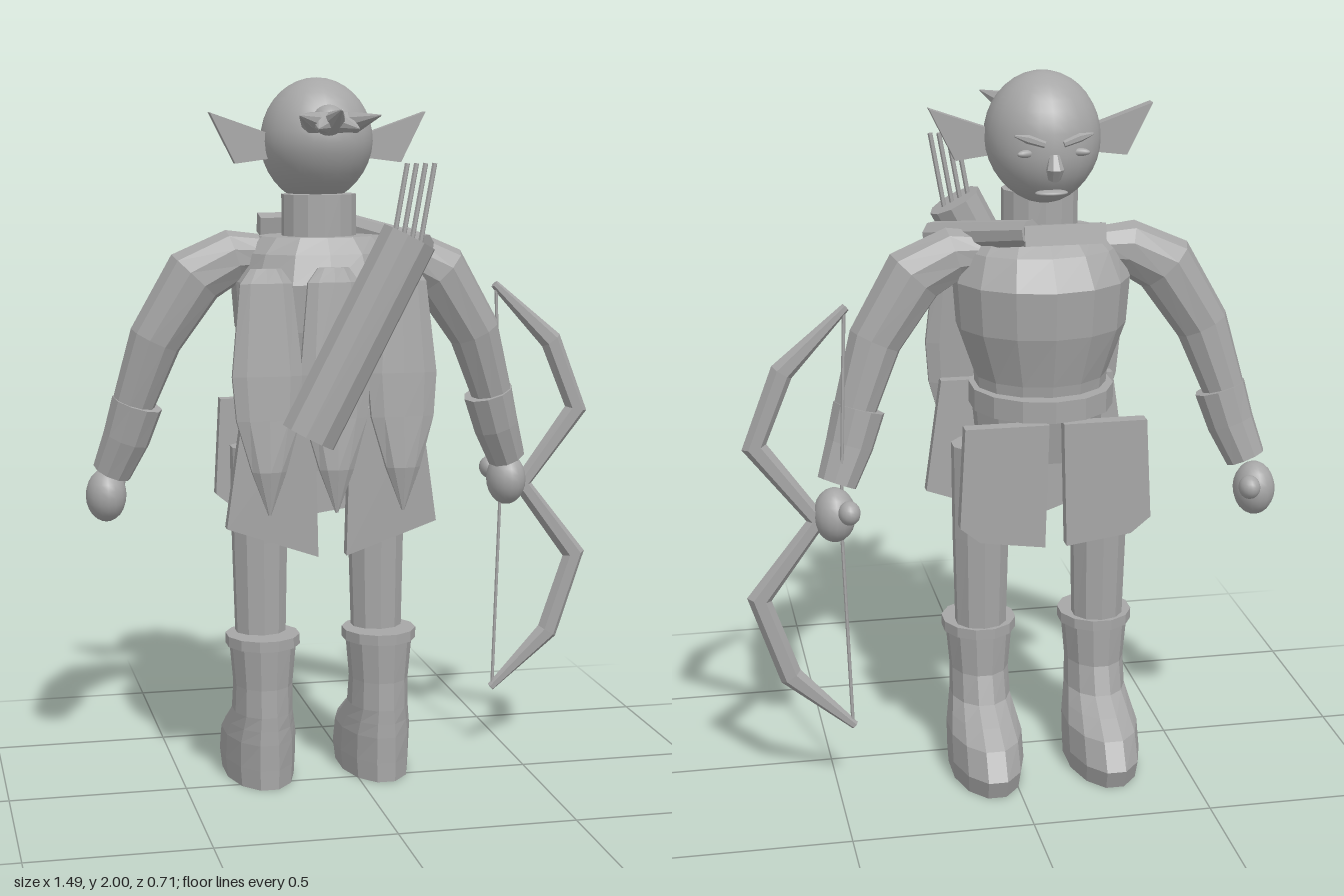
import * as THREE from 'three';

const V = (p) => new THREE.Vector3(...p);
const CX = -0.1; // body midline

// Faceted normals
function facet(geo) {
  const g = geo.index ? geo.toNonIndexed() : geo;
  g.computeVertexNormals();
  return g;
}

// Loft elliptical rings along a path; rows are [x, y, z, radiusU, radiusV], ref sets the U axis
function loft(rows, segs, ref, fixedTangent) {
  const pts = rows.map((r) => V(r));
  const pos = [], idx = [], n = rows.length;
  rows.forEach((r, i) => {
    const t = fixedTangent ? V(fixedTangent)
      : pts[Math.min(i + 1, n - 1)].clone().sub(pts[Math.max(i - 1, 0)]).normalize();
    const u = V(ref).addScaledVector(t, -V(ref).dot(t)).normalize();
    const v = t.clone().cross(u);
    for (let j = 0; j < segs; j++) {
      const a = ((j + 0.5) / segs) * Math.PI * 2;
      const p = pts[i].clone().addScaledVector(u, Math.cos(a) * r[3])
        .addScaledVector(v, Math.sin(a) * (r[4] ?? r[3]));
      pos.push(p.x, p.y, p.z);
    }
  });
  for (let i = 0; i < n - 1; i++) for (let j = 0; j < segs; j++) {
    const k = (j + 1) % segs;
    const a = i * segs + j, b = i * segs + k, c = b + segs, d = a + segs;
    idx.push(a, b, c, a, c, d);
  }
  const last = (n - 1) * segs;
  for (let j = 1; j < segs - 1; j++) idx.push(0, j + 1, j, last, last + j, last + j + 1);
  const g = new THREE.BufferGeometry();
  g.setAttribute('position', new THREE.Float32BufferAttribute(pos, 3));
  g.setIndex(idx);
  return facet(g);
}

// Flat plate from an outline
function plate(points, depth) {
  const g = new THREE.ExtrudeGeometry(new THREE.Shape(points.map((p) => new THREE.Vector2(...p))),
    { depth, bevelEnabled: false });
  return g.translate(0, 0, -depth / 2);
}

export function createModel() {
  const root = new THREE.Group();
  const grey = new THREE.MeshStandardMaterial({ color: 0xa6a6a6 });
  grey.name = 'plain grey';
  const add = (name, geo, pos = [0, 0, 0]) => {
    const m = new THREE.Mesh(geo, grey);
    m.name = name;
    m.position.set(...pos);
    root.add(m);
    return m;
  };
  const ball = (name, pos, size) => {
    const m = add(name, new THREE.SphereGeometry(1, 16, 12), pos);
    m.scale.set(...size);
    return m;
  };
  const X = [1, 0, 0], Y = [0, 1, 0], Z = [0, 0, 1];

  // Torso, belt and hips
  add('torso', loft([
    [CX, 1.1, -0.07, 0.18, 0.165], [CX, 1.17, -0.07, 0.185, 0.175], [CX, 1.31, -0.075, 0.235, 0.205],
    [CX, 1.44, -0.075, 0.245, 0.212], [CX, 1.52, -0.06, 0.215, 0.165], [CX, 1.565, -0.05, 0.17, 0.12],
  ], 14, X, Y));
  add('belt', loft([[CX, 1.08, -0.08, 0.2, 0.205], [CX, 1.14, -0.08, 0.2, 0.205]], 14, X, Y));
  add('hips', loft([[CX, 0.92, -0.03, 0.17, 0.125], [CX, 1.1, -0.04, 0.19, 0.15]], 12, X, Y));
  add('neck', loft([[CX, 1.54, -0.05, 0.105, 0.085], [CX, 1.68, -0.05, 0.105, 0.085]], 14, X, Y));

  // Scarf around the neck
  add('scarfRoll', loft([[0.175, 1.53, 0.065, 0.042], [-0.04, 1.595, -0.23, 0.036]], 8, Y));
  const scarf = add('scarfFront', new THREE.BoxGeometry(0.22, 0.055, 0.06), [-0.13, 1.585, -0.22]);
  scarf.rotation.x = 0.2;

  // Head with the jaw narrowed
  const headGeo = new THREE.SphereGeometry(1, 24, 18);
  const hp = headGeo.attributes.position;
  for (let i = 0; i < hp.count; i++) {
    const y = hp.getY(i);
    const k = y < 0 ? 1 - 0.08 * y * y : 1;
    hp.setXYZ(i, hp.getX(i) * 0.157 * k, y * 0.175, hp.getZ(i) * 0.163 * k + (y < 0 ? y * 0.025 : 0));
  }
  headGeo.computeVertexNormals();
  add('head', headGeo, [CX, 1.825, -0.078]);

  // Face
  add('nose', loft([[CX, 1.8, -0.235, 0.014], [CX, 1.765, -0.248, 0.024], [CX, 1.74, -0.235, 0.018]], 8, X));
  ball('mouth', [CX, 1.695, -0.205], [0.045, 0.009, 0.025]);
  for (const s of [-1, 1]) {
    const eye = ball('eye', [CX + s * 0.068, 1.805, -0.22], [0.032, 0.011, 0.012]);
    eye.rotation.y = s * 0.4;
    add('eyebrow', loft([[CX + s * 0.025, 1.83, -0.238, 0.009],
      [CX + s * 0.07, 1.845, -0.232, 0.012], [CX + s * 0.105, 1.855, -0.235, 0.003]], 6, Z));
    // Ear
    const ear = [[0.12, -0.045], [0.235, -0.06], [0.305, 0.08], [0.14, 0.022]]
      .map(([x, y]) => [s * x, y]);
    add('ear', plate(ear, 0.036), [CX, 1.825, -0.062]);
  }

  // Hair knot and its spikes
  ball('hairKnot', [CX, 1.885, 0.09], [0.045, 0.042, 0.045]);
  const tips = [[0, 1.915, 0.26], [-0.11, 1.9, 0.24], [0.11, 1.9, 0.24], [-0.055, 1.865, 0.22], [0.055, 1.865, 0.22]];
  for (const [x, y, z] of tips) {
    add('hairSpike', loft([[CX, 1.885, 0.06, 0.025], [CX + x * 0.5, 1.88, 0.15, 0.036, 0.03],
      [CX + x, y, z, 0.002]], 8, X));
  }

  // Limbs, mirrored about the midline
  for (const s of [-1, 1]) {
    const P = (x, ...rest) => [CX + s * x, ...rest];
    add('arm', loft([P(0.17, 1.51, -0.065, 0.06), P(0.24, 1.51, -0.065, 0.075), P(0.35, 1.455, -0.065, 0.088),
      P(0.46, 1.28, -0.075, 0.075), P(0.52, 1.1, -0.1, 0.06), P(0.57, 0.92, -0.14, 0.05)], 10, Z));
    add('bracer', loft([P(0.51, 1.1, -0.1, 0.073), P(0.54, 1.0, -0.115, 0.067), P(0.58, 0.9, -0.14, 0.056)], 10, Z));
    ball('hand', P(0.593, 0.825, -0.185), [0.058, 0.076, 0.068]);
    ball('thumb', P(0.56, 0.85, -0.25), [0.03, 0.033, 0.035]);
    add('leg', loft([P(0.17, 0.38, -0.07, 0.072, 0.068), P(0.17, 0.7, -0.075, 0.08, 0.073),
      P(0.165, 0.97, -0.078, 0.088, 0.08)], 10, X, Y));
    add('boot', loft([P(0.17, 0, -0.13, 0.1, 0.205), P(0.17, 0.055, -0.14, 0.105, 0.215),
      P(0.17, 0.13, -0.118, 0.104, 0.193), P(0.17, 0.17, -0.085, 0.095, 0.158), P(0.17, 0.21, -0.05, 0.086, 0.122),
      P(0.17, 0.29, -0.038, 0.084, 0.106), P(0.17, 0.41, -0.036, 0.095, 0.11)], 12, X, Y));
    add('bootCuff', loft([P(0.17, 0.405, -0.036, 0.106, 0.115), P(0.17, 0.435, -0.036, 0.106, 0.115)], 12, X, Y));

    // Hanging skirt panels, front and back
    const front = [[0.02, 1.08], [0.25, 1.08], [0.265, 0.8], [0.21, 0.755], [0.03, 0.73]]
      .map(([x, y]) => [CX + s * x, y]);
    add('frontPanel', plate(front, 0.04), [0, 0, -0.275]);
    const back = [[0.05, 1.1], [0.25, 1.1], [0.296, 0.775], [0.04, 0.685]]
      .map(([x, y]) => [CX + s * x, y - 0.9]);
    add('backPanel', plate(back, 0.035), [0, 0.9, 0.115]).rotation.x = 0.02;
  }

  // Three leaf-shaped cape pieces
  for (const x of [-0.187, 0, 0.187]) {
    const lx = CX + x;
    add('capeLeaf', loft([[lx, 1.49, 0.145, 0.045, 0.015], [lx, 1.45, 0.147, 0.075, 0.022],
      [lx, 1.2, 0.165, 0.102, 0.026], [lx, 1.08, 0.172, 0.092, 0.027], [lx, 0.94, 0.18, 0.05, 0.03],
      [lx, 0.82, 0.185, 0.004, 0.004]], 10, X));
  }

  // Quiver and arrows
  add('quiver', loft([[-0.2, 1.05, 0.29, 0.078], [0.077, 1.58, 0.29, 0.078]], 10, Z));
  for (let i = 0; i < 4; i++) {
    const x = 0.02 + i * 0.025;
    add('arrow', loft([[x, 1.5, 0.29, 0.007], [x + 0.05, 1.775, 0.29, 0.007]], 6, Z));
  }

  // Bow and string
  add('bow', loft([[0.45, 1.405, -0.18, 0.012], [0.625, 1.235, -0.18, 0.025, 0.032],
    [0.705, 1.03, -0.18, 0.025, 0.034], [0.54, 0.81, -0.18, 0.025, 0.03], [0.705, 0.59, -0.18, 0.025, 0.034],
    [0.625, 0.355, -0.18, 0.025, 0.032], [0.45, 0.19, -0.18, 0.012]], 6, Z));
  add('bowString', loft([[0.455, 1.4, -0.18, 0.005], [0.475, 0.8, -0.18, 0.005], [0.455, 0.195, -0.18, 0.005]], 6, Z));

  return root;
}
